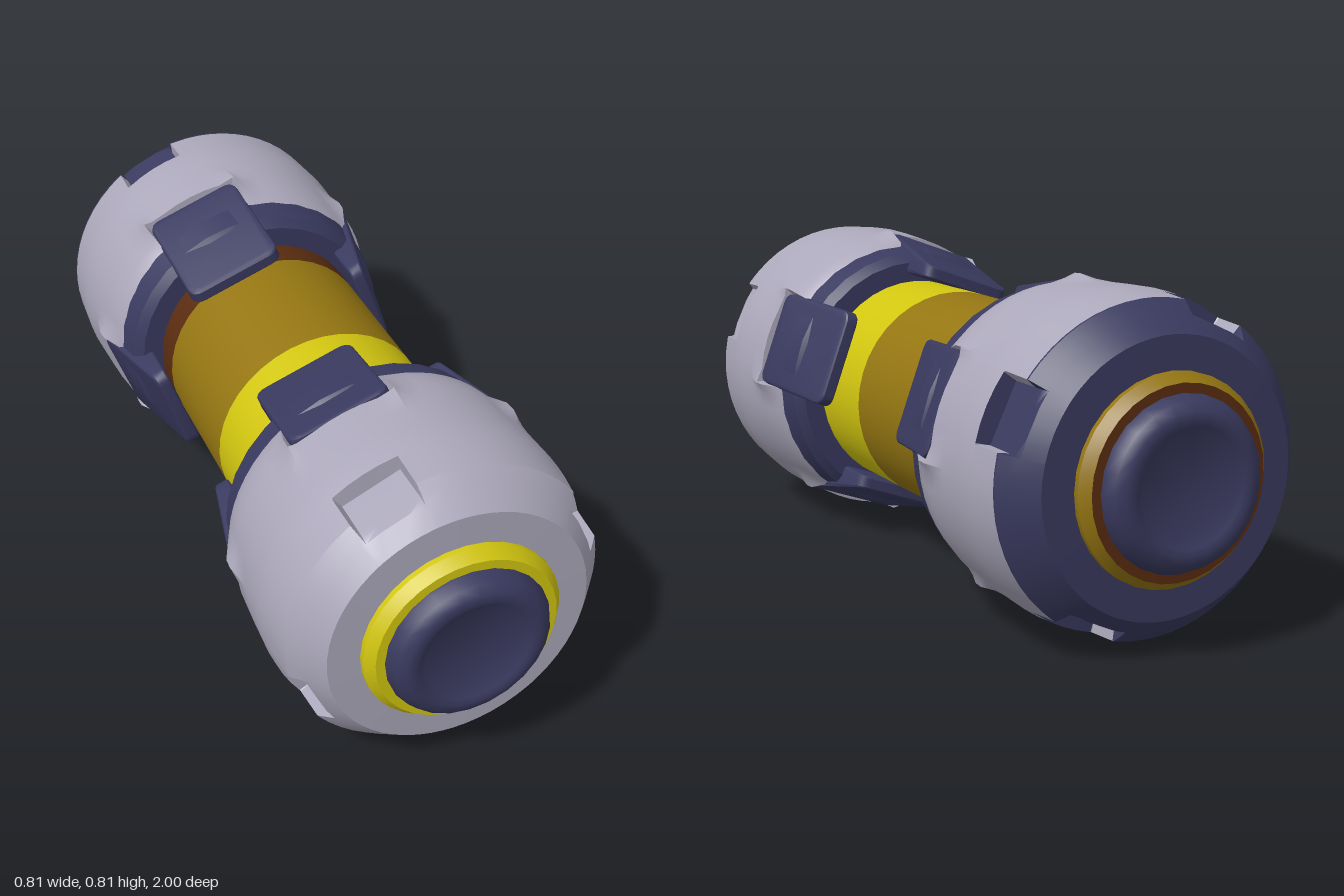
import * as THREE from 'three';
import { toCreasedNormals } from 'three/addons/utils/BufferGeometryUtils.js';

const mat = (name, color) => Object.assign(new THREE.MeshStandardMaterial({ color }), { name });
const AXIS_Y = 0.41;
const RAD = Math.PI / 180;
const CLAW = 20;   // centre angle of a claw in each quadrant, degrees
const NOTCH = 25;  // centre angle of a rim notch

// Plain shell radius along the axis
const PROFILE = [[0.42, 0.362], [0.44, 0.376], [0.5, 0.388], [0.6, 0.394], [0.7, 0.398],
  [0.83, 0.388], [0.87, 0.355], [0.91, 0.32], [0.912, 0.225]];
function profile(z) {
  for (let i = 1; i < PROFILE.length; i++) {
    const [z0, r0] = PROFILE[i - 1], [z1, r1] = PROFILE[i];
    if (z <= z1) return r0 + (r1 - r0) * (z - z0) / (z1 - z0);
  }
  return PROFILE[PROFILE.length - 1][1];
}

const inNotch = (a, z) => Math.abs(a - NOTCH) < 12.2 && z > 0.74 && z < 0.9;

// Shell radius with claw recesses, raised lips beside them and rim notches
function shellRadius(a, z) {
  const da = Math.abs(a - CLAW);
  let r = profile(z);
  if (da < 19.5 && z < 0.528) return Math.min(r, 0.335 / Math.cos(da * RAD));
  const ramp = Math.min(1, Math.max(0, z < 0.515 ? (z - 0.43) / 0.07 : (0.6 - z) / 0.07));
  r += 0.016 * ramp * Math.max(0, 1 - Math.abs(da - 19.8) / 4.2);
  if (inNotch(a, z)) r = Math.min(r, 0.352 / Math.cos((a - NOTCH) * RAD));
  return r;
}

const QUADRANT = [-4, 0.2, 0.6, 6, 12.6, 13, 19, 25, 31, 37, 37.4, 39.4, 39.8, 44, 50, 56, 62, 68, 74, 80];
const STATIONS = [0.42, 0.44, 0.47, 0.5, 0.526, 0.53, 0.56, 0.6, 0.66, 0.7, 0.738, 0.742,
  0.78, 0.825, 0.83, 0.85, 0.87, 0.91, 0.912];

function shellGeometry(s) {
  const n = QUADRANT.length, cols = n * 4, pos = [], main = [], trim = [];
  for (const z of STATIONS) {
    for (let c = 0; c < cols; c++) {
      const a = QUADRANT[c % n], r = shellRadius(a, z), t = (a + 90 * Math.floor(c / n)) * RAD;
      pos.push(r * Math.cos(t), r * Math.sin(t), s * z);
    }
  }
  for (let j = 0; j < STATIONS.length - 1; j++) {
    for (let c = 0; c < cols; c++) {
      const e = (c + 1) % cols;
      const p = j * cols + c, q = j * cols + e, u = (j + 1) * cols + e, v = (j + 1) * cols + c;
      const a0 = QUADRANT[c % n], a1 = c % n === n - 1 ? 86 : QUADRANT[c % n + 1];
      const zm = (STATIONS[j] + STATIONS[j + 1]) / 2;
      const painted = zm > 0.825 || inNotch((a0 + a1) / 2, zm + 0.002);
      (painted ? trim : main).push(...(s > 0 ? [p, q, u, p, u, v] : [p, u, q, p, v, u]));
    }
  }
  const g = new THREE.BufferGeometry();
  g.setAttribute('position', new THREE.Float32BufferAttribute(pos, 3));
  g.setIndex([...main, ...trim]);
  g.addGroup(0, main.length, 0);
  g.addGroup(main.length, trim.length, 1);
  return toCreasedNormals(g, 0.55);
}

// Rounded plate laid along the axis, its top sloping down toward the grip
function clawGeometry(s) {
  const w = 0.118, z0 = 0.242, z1 = 0.512, k = 0.02;
  const shape = new THREE.Shape();
  shape.moveTo(-w + k, z0);
  shape.lineTo(w - k, z0);
  shape.quadraticCurveTo(w, z0, w, z0 + k);
  shape.lineTo(w, z1 - k);
  shape.quadraticCurveTo(w, z1, w - k, z1);
  shape.lineTo(-w + k, z1);
  shape.quadraticCurveTo(-w, z1, -w, z1 - k);
  shape.lineTo(-w, z0 + k);
  shape.quadraticCurveTo(-w, z0, -w + k, z0);
  const g = new THREE.ExtrudeGeometry(shape, {
    depth: 0.06, bevelThickness: 0.012, bevelSize: 0.012, bevelSegments: 2, curveSegments: 4,
  });
  const p = g.attributes.position;
  for (let i = 0; i < p.count; i++) {
    const u = p.getX(i), z = p.getY(i), t = (p.getZ(i) + 0.012) / 0.084;
    const top = 0.316 + (z - 0.23) * 0.225;
    p.setXYZ(i, 0.28 + (top - 0.28) * t, s * u, s * z);
  }
  return toCreasedNormals(g, 0.5);
}

export function createModel() {
  const grey = mat('shellGrey', 0xaca8bb);
  const navy = mat('navy', 0x3a3a60);
  const yellow = mat('yellow', 0xd2c610);
  const mustard = mat('mustard', 0x957612);
  const brown = mat('darkBrown', 0x5a2c10);

  const model = new THREE.Group();
  model.name = 'capsuleDevice';
  const add = (parent, name, geometry, material) => {
    const mesh = new THREE.Mesh(geometry, material);
    mesh.name = name;
    parent.add(mesh);
    return mesh;
  };
  // Profile of [radius, distance along axis], turned toward the chosen end
  const lathe = (points, segments, s) => toCreasedNormals(
    new THREE.LatheGeometry(points.map(([r, z]) => new THREE.Vector2(r, z)), segments)
      .rotateX(s * Math.PI / 2), 0.6);

  // Grip tube in three colour bands
  const bands = [['gripFront', 0.11, 0.9, yellow], ['gripMiddle', -0.27, 0.11, mustard], ['gripBack', -0.9, -0.27, brown]];
  for (const [name, a, b, material] of bands) {
    const g = new THREE.CylinderGeometry(0.282, 0.282, b - a, 40, 1, true);
    add(model, name, g.rotateX(Math.PI / 2).translate(0, 0, (a + b) / 2), material);
  }

  // The two matching end heads
  for (const s of [1, -1]) {
    const head = new THREE.Group();
    head.name = s > 0 ? 'frontHead' : 'backHead';
    model.add(head);
    add(head, 'shell', shellGeometry(s), [grey, s > 0 ? grey : navy]);
    add(head, 'collar', lathe([[0.27, 0.35], [0.335, 0.35], [0.358, 0.37], [0.37, 0.43], [0.36, 0.445]], 32, s), navy);
    add(head, 'ringBevel', lathe([[0.242, 0.9], [0.242, 0.925], [0.222, 0.95]], 32, s), s > 0 ? yellow : mustard);
    add(head, 'ringFace', lathe([[0.222, 0.95], [0.18, 0.951]], 32, s), s > 0 ? yellow : brown);
    add(head, 'endButton', lathe([[0.2, 0.94], [0.2, 0.958], [0.188, 0.983], [0.168, 0.998], [0.15, 1],
      [0.135, 0.995], [0.122, 0.988], [0, 0.988]], 24, s), navy);
    const claw = clawGeometry(s);
    for (let k = 0; k < 4; k++) {
      add(head, 'claw', claw, navy).rotation.z = (CLAW + 90 * k) * RAD;
    }
  }

  model.children.forEach((part) => { part.position.y = AXIS_Y; });
  return model;
}
